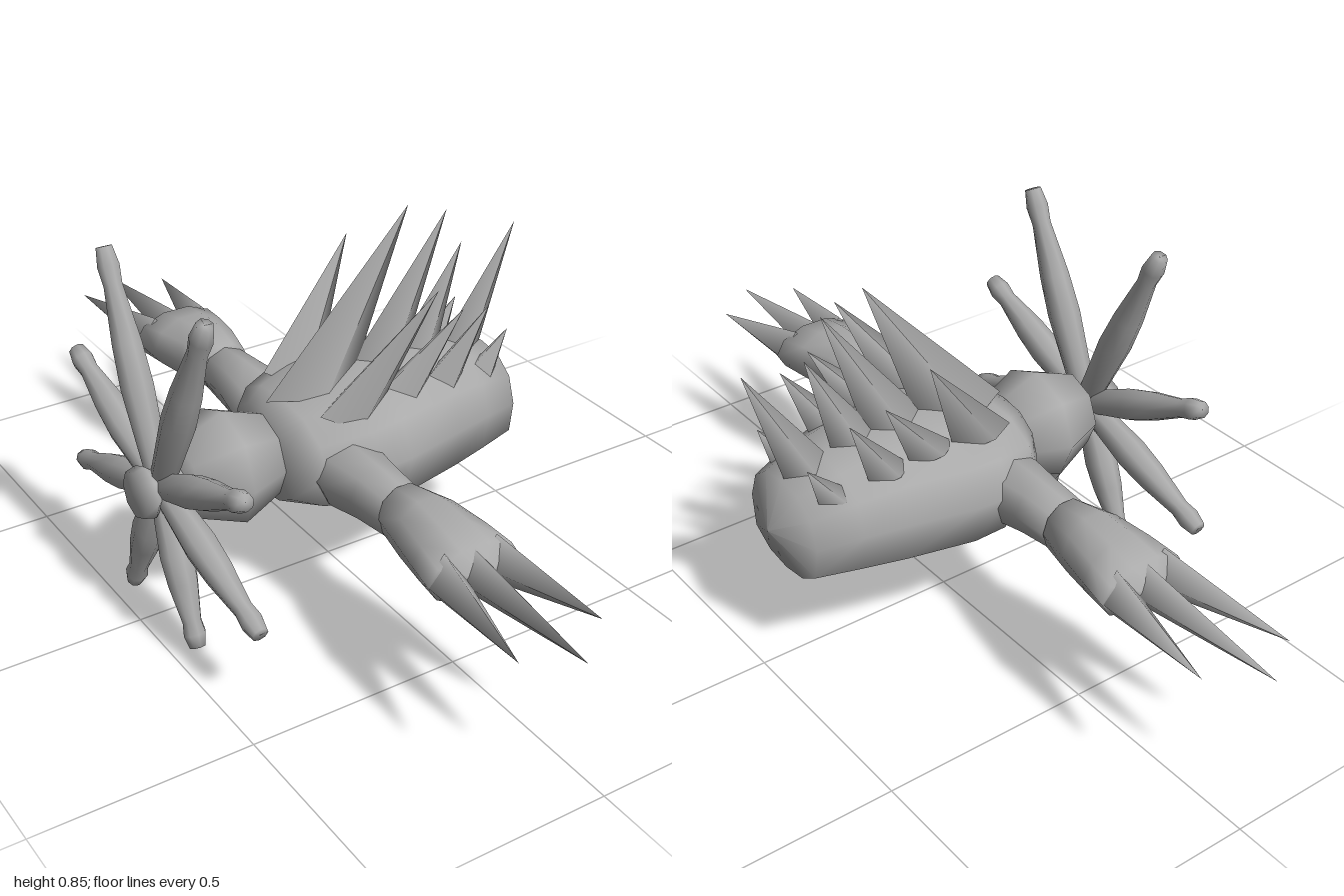
import * as THREE from 'three';

const hide = new THREE.MeshStandardMaterial({ color: 0xaaaaaa });
hide.name = 'grey hide';

const MID_Z = 0.013; // the creature's own plane of symmetry
const V = (x, y, z) => new THREE.Vector3(x, y, z);

function add(parent, name, geometry) {
  const mesh = new THREE.Mesh(geometry, hide);
  mesh.name = name;
  parent.add(mesh);
  return mesh;
}

// Skin along +z: rings are [z, centreY, halfWidth, halfHeight], outline is a unit cross-section
function loft(rings, outline) {
  const n = outline.length, pos = [], index = [];
  for (const [z, cy, rx, ry] of rings)
    for (const [u, v] of outline) pos.push(u * rx, cy + v * ry, z);
  for (let i = 0; i < rings.length - 1; i++)
    for (let j = 0; j < n; j++) {
      const a = i * n + j, b = i * n + (j + 1) % n;
      index.push(a, b, a + n, b, b + n, a + n);
    }
  const g = new THREE.BufferGeometry();
  g.setAttribute('position', new THREE.Float32BufferAttribute(pos, 3));
  g.setIndex(index);
  g.computeVertexNormals();
  return g;
}

const circle = (n) => Array.from({ length: n }, (_, i) => {
  const a = (i / n) * Math.PI * 2;
  return [Math.cos(a), Math.sin(a)];
});

// Turned shape around y from [radius, height] pairs
const lathe = (points, sides) =>
  new THREE.LatheGeometry(points.map(([r, h]) => new THREE.Vector2(r, h)), sides);

// Four-sided spike: its base keeps the axes a and b while the tip leans freely
function spike(base, tip, a, b) {
  const axis = tip.clone().sub(base);
  const g = new THREE.ConeGeometry(1, 1, 4).translate(0, 0.5, 0);
  if (a.clone().cross(axis).dot(b) < 0) b = b.clone().negate();
  return g.applyMatrix4(new THREE.Matrix4().makeBasis(a, axis, b).setPosition(base));
}

export function createModel() {
  const model = new THREE.Group();
  model.name = 'starNosedCreature';
  const creature = new THREE.Group();
  creature.name = 'creature';
  creature.position.z = MID_Z;
  model.add(creature);

  // Body: flat-bellied section, tapering to the rump at +x
  const half = [[0, -1], [0.5, -0.92], [0.92, -0.62], [1, 0.05], [0.84, 0.6], [0.48, 0.92]];
  const outline = [...half, [0, 1], ...half.slice(1).reverse().map(([u, v]) => [-u, v])];
  const body = loft([
    [-0.18, 0.345, 0, 0],
    [-0.18, 0.348, 0.13, 0.103],
    [-0.13, 0.352, 0.19, 0.115],
    [-0.02, 0.36, 0.235, 0.138],
    [0.06, 0.363, 0.234, 0.148],
    [0.22, 0.363, 0.197, 0.145],
    [0.32, 0.357, 0.168, 0.133],
    [0.42, 0.345, 0.133, 0.115],
    [0.462, 0.345, 0, 0],
  ], outline);
  add(creature, 'body', body.rotateY(Math.PI / 2));

  // Head
  const head = add(creature, 'head', lathe(
    [[0, -0.125], [0.092, -0.11], [0.137, 0], [0.095, 0.11], [0, 0.125]], 8));
  head.rotation.z = -Math.PI / 2;
  head.position.set(-0.28, 0.345, 0);

  // Nose hub
  const nose = add(creature, 'noseHub', lathe(
    [[0, -0.062], [0.055, -0.058], [0.062, -0.03], [0.035, 0], [0.05, 0.05], [0, 0.055]], 8));
  nose.rotation.z = -Math.PI / 2;
  nose.position.set(-0.443, 0.342, 0);

  // Ring of nose feelers; each entry is the tip on one side
  const feelers = [
    [-0.432, 0.825, 0.22], [-0.443, 0.51, 0.38], [-0.434, 0.205, 0.41], [-0.443, 0.012, 0.15],
  ];
  for (const [x, y, z] of feelers)
    for (const side of [1, -1]) {
      const start = V(-0.437, 0.345, 0);
      const dir = V(x, y, z * side).sub(start);
      const L = dir.length();
      const feeler = add(creature, 'noseFeeler', lathe([
        [0, 0], [0.028, 0.02 * L], [0.039, 0.42 * L], [0.035, 0.6 * L], [0.022, 0.84 * L],
        [0.026, 0.92 * L], [0.019, L], [0, L]], 8));
      feeler.position.copy(start);
      feeler.quaternion.setFromUnitVectors(V(0, 1, 0), dir.normalize());
    }

  // Back spikes: [baseX, baseY, tipX, tipY, halfLength, halfWidth]
  const ridge = [
    [-0.055, 0.47, 0.2, 0.855, 0.115, 0.065],
    [0.12, 0.49, 0.305, 0.82, 0.08, 0.055],
    [0.225, 0.48, 0.35, 0.73, 0.065, 0.045],
    [0.345, 0.45, 0.5, 0.745, 0.065, 0.045],
  ];
  for (const [bx, by, tx, ty, a, b] of ridge)
    add(creature, 'ridgeSpike', spike(V(bx, by, 0), V(tx, ty, 0), V(a, 0, 0), V(0, 0, b)));

  // Flank spikes: [baseX, baseY, baseZ, tipX, tipY, tipZ, halfLength, halfWidth]
  const flank = [
    [-0.03, 0.455, 0.12, 0.157, 0.73, 0.18, 0.075, 0.045],
    [0.105, 0.465, 0.12, 0.25, 0.65, 0.15, 0.055, 0.04],
    [0.215, 0.45, 0.115, 0.33, 0.63, 0.135, 0.05, 0.038],
    [0.34, 0.425, 0.095, 0.415, 0.535, 0.1, 0.04, 0.034],
  ];
  for (const side of [1, -1])
    for (const [bx, by, bz, tx, ty, tz, a, b] of flank)
      add(creature, 'flankSpike', spike(
        V(bx, by, bz * side), V(tx, ty, tz * side), V(a, -0.015, 0), V(0, -b * 0.5 * side, b * side)));

  // Arms with digging claws, mirrored front to back
  for (const side of [1, -1]) {
    const arm = new THREE.Group();
    arm.name = side > 0 ? 'frontArm' : 'backArm';
    arm.scale.z = side;
    creature.add(arm);
    const upper = add(arm, 'upperArm', loft([
      [0.1, 0.345, 0.07, 0.06], [0.19, 0.345, 0.085, 0.078], [0.28, 0.35, 0.068, 0.07],
      [0.4, 0.352, 0.06, 0.058], [0.4, 0.352, 0, 0],
    ], circle(8)));
    upper.position.x = -0.065;
    const forearm = add(arm, 'forearm', loft([
      [0.37, 0.355, 0, 0], [0.372, 0.355, 0.062, 0.064], [0.46, 0.357, 0.082, 0.078],
      [0.55, 0.353, 0.1, 0.072], [0.625, 0.348, 0.113, 0.062], [0.665, 0.348, 0, 0],
    ], circle(10)));
    forearm.position.x = -0.062;
    // Claws: [baseX, tipX, tipZ]
    const tipShift = side > 0 ? -MID_Z : MID_Z;
    for (const [bx, tx, tz] of [[-0.128, -0.172, 0.92], [-0.065, -0.065, 0.99], [0.002, 0.047, 0.9]])
      add(arm, 'claw', spike(V(bx, 0.348, 0.61), V(tx, 0.35, tz + tipShift), V(0.046, 0, 0), V(0, 0.058, 0)));
  }
  return model;
}
